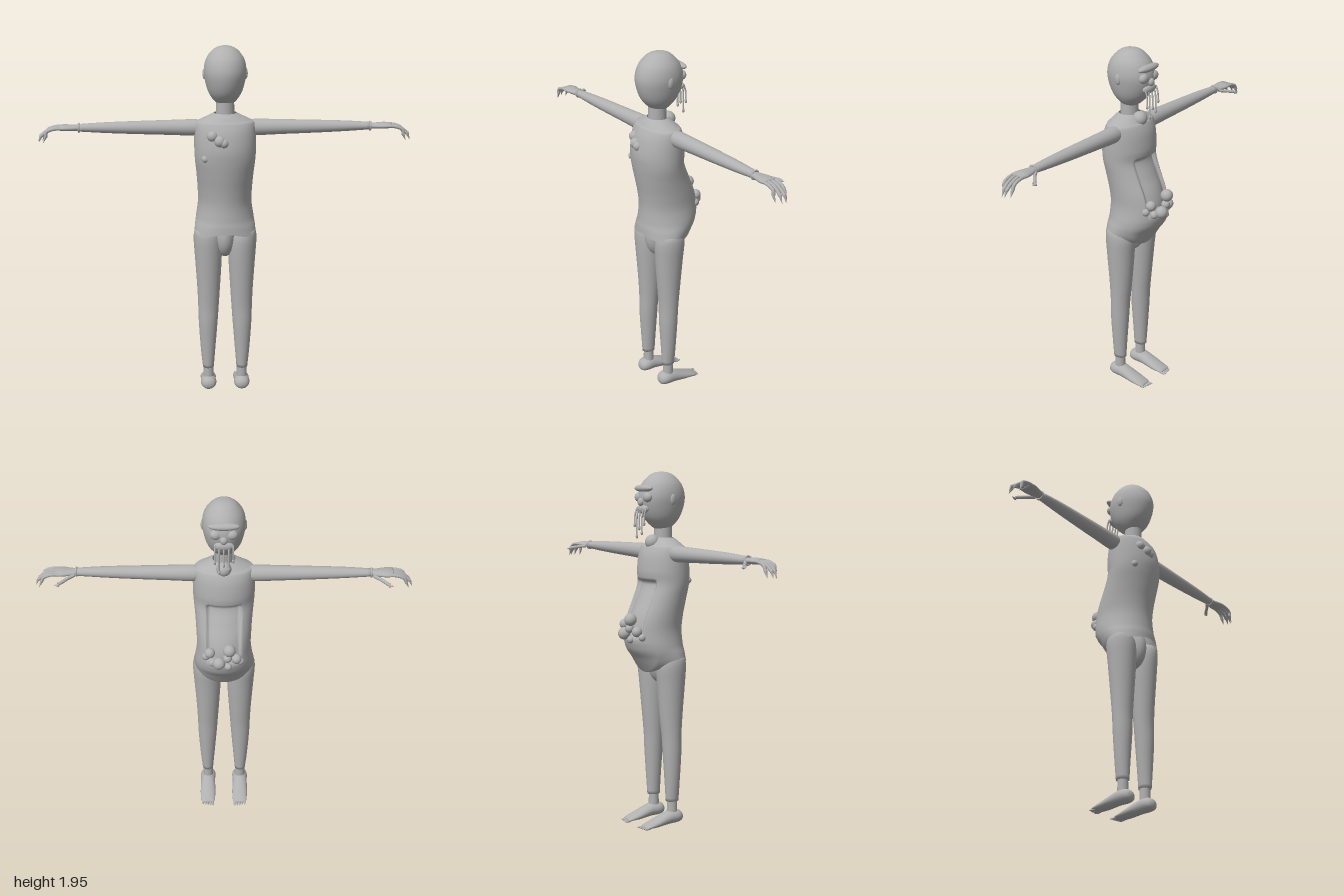
import * as THREE from 'three';

const skin = new THREE.MeshStandardMaterial({ color: 0xb0b0b0, side: THREE.DoubleSide });
skin.name = 'plain grey';

function add(parent, name, geometry, pos = [0, 0, 0], scale = [1, 1, 1]) {
  const m = new THREE.Mesh(geometry, skin);
  m.name = name;
  m.position.set(...pos);
  m.scale.set(...scale);
  parent.add(m);
  return m;
}

const ball = (parent, name, pos, scale) =>
  add(parent, name, new THREE.SphereGeometry(1, 28, 20), pos, Array.isArray(scale) ? scale : [scale, scale, scale]);

// Catmull-Rom resampling of section rows
function smoothRows(rows, steps) {
  const out = [];
  const at = i => rows[Math.max(0, Math.min(rows.length - 1, i))];
  for (let i = 0; i < rows.length - 1; i++) {
    for (let s = 0; s < steps; s++) {
      const u = s / steps;
      out.push(rows[i].map((_, c) => {
        const [p0, p1, p2, p3] = [at(i - 1)[c], at(i)[c], at(i + 1)[c], at(i + 2)[c]];
        return p1 + 0.5 * u * (p2 - p0 + u * (2 * p0 - 5 * p1 + 4 * p2 - p3 + u * (3 * (p1 - p2) + p3 - p0)));
      }));
    }
  }
  out.push(rows[rows.length - 1]);
  return out;
}

// Oval rings along an axis. Row: [along, minA, maxA, minB, maxB], rows ascending.
// The A and B axes follow in cyclic order: x -> y,z   y -> z,x   z -> x,y
function loft(axis, rows, { n = 36, steps = 4, caps = true, warp } = {}) {
  const k = 'xyz'.indexOf(axis), rings = smoothRows(rows, steps);
  const pos = [], idx = [];
  const push = (t, a, b) => {
    const p = new THREE.Vector3();
    p.setComponent(k, t).setComponent((k + 1) % 3, a).setComponent((k + 2) % 3, b);
    if (warp) warp(p);
    pos.push(p.x, p.y, p.z);
  };
  for (const [t, a0, a1, b0, b1] of rings) {
    for (let j = 0; j < n; j++) {
      const q = (j / n) * Math.PI * 2;
      push(t, (a0 + a1) / 2 + (a1 - a0) / 2 * Math.cos(q), (b0 + b1) / 2 + (b1 - b0) / 2 * Math.sin(q));
    }
  }
  for (let i = 0; i < rings.length - 1; i++) {
    for (let j = 0; j < n; j++) {
      const a = i * n + j, b = i * n + (j + 1) % n;
      idx.push(a, b, b + n, a, b + n, a + n);
    }
  }
  if (caps) {
    for (const [r, flip] of [[0, true], [rings.length - 1, false]]) {
      const [t, a0, a1, b0, b1] = rings[r], c = pos.length / 3;
      push(t, (a0 + a1) / 2, (b0 + b1) / 2);
      for (let j = 0; j < n; j++) {
        const a = r * n + j, b = r * n + (j + 1) % n;
        idx.push(c, flip ? b : a, flip ? a : b);
      }
    }
  }
  const g = new THREE.BufferGeometry();
  g.setAttribute('position', new THREE.Float32BufferAttribute(pos, 3));
  g.setIndex(idx);
  g.computeVertexNormals();
  return g;
}

const tube = (points, r) =>
  new THREE.TubeGeometry(new THREE.CatmullRomCurve3(points.map(p => new THREE.Vector3(...p))), 14, r, 10);

// Garment: wavy hem dipping at the belly, and a sunken panel on the belly side
function shapeGarment(p) {
  const dz = (p.z - 0.05) / 0.13;
  if (p.y < 1.02) {
    const k = (1.02 - p.y) / 0.09;
    p.y += k * (dz < 0 ? -0.065 * Math.min(1, dz * dz * 1.4) : 0.025 * dz * dz * Math.cos(p.x * 14));
  }
  if (p.z < 0) {
    const edge = (d, w) => THREE.MathUtils.smoothstep(d, 0, w);
    p.z += 0.025 * edge(0.095 - Math.abs(p.x), 0.015) * edge(p.y - 1.06, 0.03) * edge(1.38 - p.y, 0.02);
  }
}

function buildSide() {
  const side = new THREE.Group();

  // Leg, ankle and foot
  add(side, 'leg', loft('y', [
    [0.14, 0.02, 0.095, 0.064, 0.126], [0.25, 0.014, 0.1, 0.055, 0.137], [0.4, 0.005, 0.108, 0.043, 0.147],
    [0.5, 0.0, 0.108, 0.036, 0.15], [0.62, -0.012, 0.115, 0.028, 0.155], [0.8, -0.028, 0.128, 0.018, 0.167],
    [0.9, -0.036, 0.132, 0.022, 0.173], [0.95, -0.02, 0.12, 0.045, 0.165], [0.97, 0.01, 0.09, 0.075, 0.135],
  ]));
  add(side, 'ankle', new THREE.CylinderGeometry(0.027, 0.03, 0.1, 24), [0.094, 0.115, 0.058]);
  add(side, 'foot', loft('z', [
    [-0.125, 0.062, 0.126, 0.005, 0.018], [-0.11, 0.054, 0.134, 0.003, 0.028], [-0.05, 0.05, 0.138, 0.003, 0.053],
    [0.03, 0.053, 0.137, 0.01, 0.084], [0.08, 0.05, 0.138, 0.012, 0.088], [0.11, 0.062, 0.126, 0.02, 0.075],
    [0.12, 0.085, 0.103, 0.038, 0.055],
  ], { n: 24 }));
  for (let i = 0; i < 5; i++)
    ball(side, 'toe', [0.064 + i * 0.0148, 0.009, -0.13 + i * 0.003], [0.006, 0.006, 0.022]);

  // Arm with wrist band
  add(side, 'arm', loft('x', [
    [0.12, 1.485, 1.555, 0.01, 0.08], [0.16, 1.475, 1.563, 0.0, 0.088], [0.3, 1.48, 1.56, 0.002, 0.086],
    [0.5, 1.487, 1.555, 0.008, 0.082], [0.65, 1.494, 1.55, 0.014, 0.078], [0.78, 1.502, 1.542, 0.022, 0.07],
  ], { n: 28 }));
  const band = add(side, 'wristBand', new THREE.TorusGeometry(0.021, 0.006, 10, 24), [0.78, 1.522, 0.046]);
  band.rotation.y = Math.PI / 2;

  // Hand with curled, pointed fingers and a thumb
  add(side, 'hand', loft('x', [
    [0.765, 1.506, 1.538, 0.028, 0.066], [0.81, 1.506, 1.538, 0.014, 0.078],
    [0.86, 1.507, 1.54, 0.003, 0.089], [0.895, 1.512, 1.535, 0.006, 0.086],
  ], { n: 24 }));
  [0.014, 0.035, 0.057, 0.078].forEach((z, i) => {
    const reach = [0.965, 0.985, 0.98, 0.955][i];
    add(side, 'finger', tube([[0.87, 1.525, z], [0.915, 1.521, z], [0.95, 1.506, z], [reach, 1.48, z]], 0.009));
    const tip = add(side, 'fingertip', new THREE.ConeGeometry(0.0085, 0.042, 10), [reach + 0.007, 1.464, z]);
    tip.rotation.z = Math.PI + 0.42;
  });
  add(side, 'thumb', tube([[0.79, 1.515, 0.022], [0.82, 1.511, 0.0], [0.85, 1.505, -0.028], [0.87, 1.5, -0.042]], 0.009));
  const thumbTip = add(side, 'thumbTip', new THREE.ConeGeometry(0.008, 0.03, 10), [0.88, 1.497, -0.048]);
  thumbTip.rotation.set(-0.5, 0, -1.5);

  // Ear and eye
  ball(side, 'ear', [0.109, 1.81, 0.05], [0.011, 0.03, 0.018]);
  ball(side, 'eye', [0.042, 1.82, -0.068], [0.03, 0.027, 0.024]);
  return side;
}

export function createModel() {
  const model = new THREE.Group();
  model.name = 'figure';

  // Head tapering to the chin, and neck
  add(model, 'head', loft('y', [
    [1.645, 0.02, 0.075, -0.03, 0.03], [1.665, -0.012, 0.11, -0.058, 0.058], [1.71, -0.055, 0.15, -0.088, 0.088],
    [1.77, -0.081, 0.174, -0.106, 0.106], [1.83, -0.087, 0.18, -0.113, 0.113], [1.89, -0.066, 0.16, -0.1, 0.1],
    [1.935, -0.025, 0.118, -0.066, 0.066], [1.953, 0.01, 0.084, -0.032, 0.032], [1.957, 0.045, 0.049, -0.002, 0.002],
  ], { steps: 6, n: 48 }));
  add(model, 'neck', new THREE.CylinderGeometry(0.048, 0.05, 0.14, 32), [0, 1.61, 0.058]);

  // Garment
  add(model, 'torso', loft('y', [
    [0.93, -0.06, 0.165, -0.168, 0.168], [0.975, -0.112, 0.163, -0.165, 0.165], [1.02, -0.163, 0.158, -0.158, 0.158],
    [1.1, -0.172, 0.154, -0.147, 0.147], [1.18, -0.152, 0.162, -0.149, 0.149], [1.27, -0.108, 0.178, -0.155, 0.155],
    [1.35, -0.073, 0.19, -0.163, 0.163], [1.42, -0.075, 0.193, -0.166, 0.166], [1.5, -0.064, 0.178, -0.165, 0.165],
    [1.55, -0.045, 0.157, -0.158, 0.158], [1.565, -0.03, 0.145, -0.135, 0.135], [1.585, -0.012, 0.13, -0.095, 0.095],
    [1.602, 0.003, 0.112, -0.06, 0.06],
  ], { n: 96, steps: 8, caps: false, warp: shapeGarment }));
  ball(model, 'pelvis', [0, 0.915, 0.05], [0.058, 0.12, 0.085]);
  ball(model, 'throatBall', [0, 1.578, -0.012], 0.04);

  // Brow, nose, and hanging strands on the face
  ball(model, 'brow', [0, 1.868, -0.068], [0.082, 0.02, 0.026]);
  ball(model, 'nose', [0, 1.795, -0.085], [0.02, 0.022, 0.018]);
  ball(model, 'upperLip', [0, 1.757, -0.074], [0.052, 0.025, 0.02]);
  [-0.048, -0.026, 0, 0.024, 0.046].forEach((x, i) => {
    const end = [1.68, 1.63, 1.655, 1.61, 1.67][i];
    add(model, 'strand', tube([[x, 1.765, -0.08], [x, 1.73, -0.093], [x, end, -0.096]], 0.0045));
    ball(model, 'strandDrop', [x, end, -0.096], [0.007, 0.012, 0.007]);
  });

  // Growths on the belly
  [[-0.03, 1.165, -0.172, 0.034], [0.025, 1.085, -0.178, 0.034], [-0.068, 1.1, -0.155, 0.028], [0.075, 1.13, -0.145, 0.028],
    [-0.02, 1.115, -0.172, 0.024], [0.06, 1.075, -0.155, 0.022], [-0.09, 1.07, -0.135, 0.02], [0.095, 1.095, -0.125, 0.022],
    [-0.025, 1.055, -0.168, 0.02]]
    .forEach(([x, y, z, r]) => ball(model, 'bellyGrowth', [x, y, z], r));

  // Growths on the back
  [[-0.07, 1.495, 0.158, 0.029], [-0.032, 1.47, 0.176, 0.03], [-0.01, 1.46, 0.18, 0.025], [-0.107, 1.37, 0.148, 0.021]]
    .forEach(([x, y, z, r]) => ball(model, 'backGrowth', [x, y, z], r));

  // Mirrored limbs
  const left = buildSide(), right = buildSide();
  left.name = 'leftSide';
  right.name = 'rightSide';
  right.scale.x = -1;
  model.add(left, right);
  return model;
}
